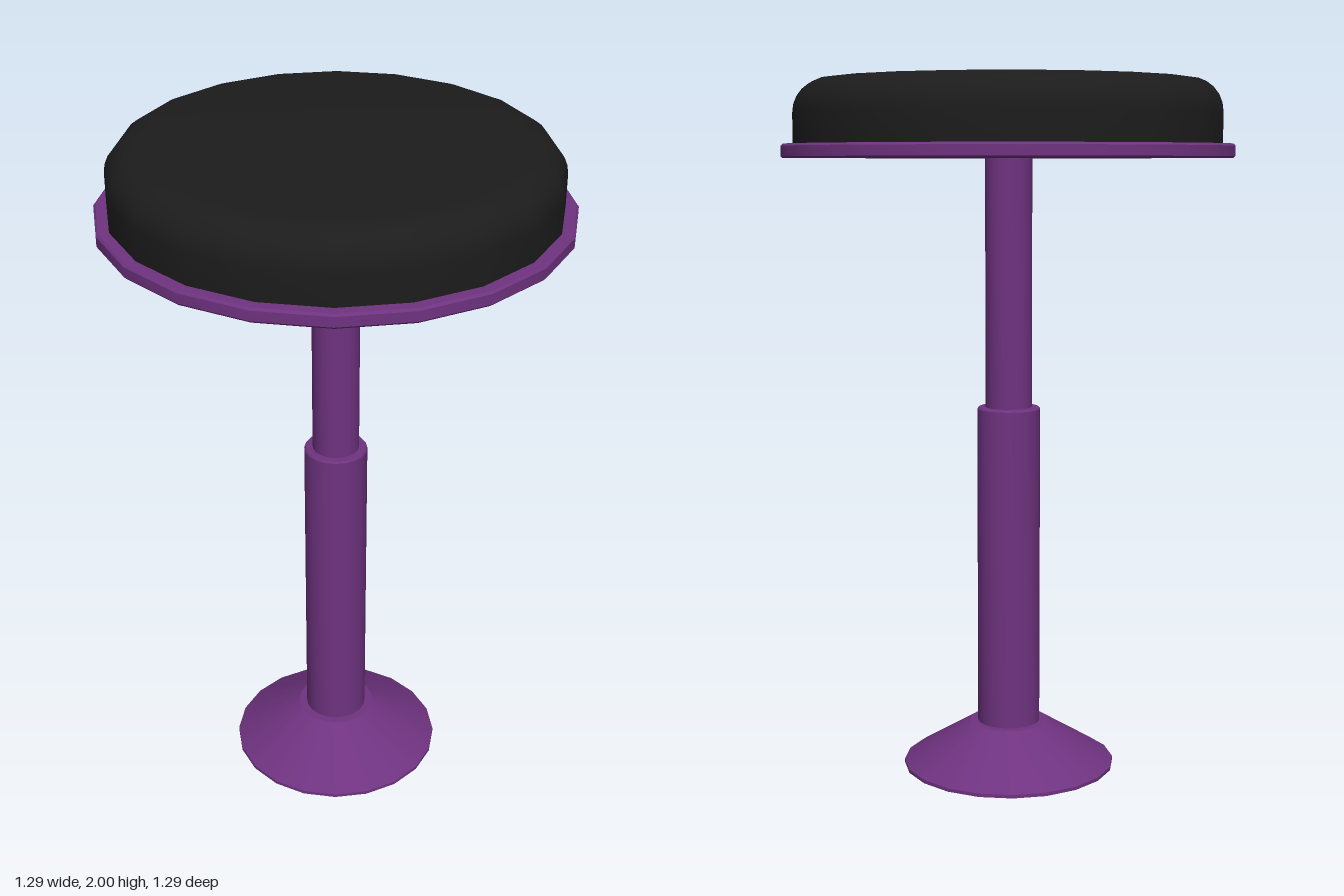
import * as THREE from 'three';
import { toCreasedNormals } from 'three/addons/utils/BufferGeometryUtils.js';

const SIDES = 20;

export function createModel() {
  const stool = new THREE.Group();
  stool.name = 'stool';
  const purple = new THREE.MeshStandardMaterial({ color: 0x6f3380 });
  const black = new THREE.MeshStandardMaterial({ color: 0x1c1c1c });

  // Turned part from a bottom-to-top [radius, height] profile, smooth around and sharp at rims
  function turned(name, profile, material) {
    const points = profile.map(([r, y]) => new THREE.Vector2(r, y));
    const geometry = toCreasedNormals(new THREE.LatheGeometry(points, SIDES), 0.5);
    const mesh = new THREE.Mesh(geometry, material);
    mesh.name = name;
    stool.add(mesh);
  }

  // Flared foot
  turned('base', [[0, 0], [0.31, 0], [0.31, 0.01], [0.115, 0.13], [0, 0.13]], purple);

  // Telescoping column
  turned('lowerColumn', [[0, 0.12], [0.091, 0.12], [0.091, 1.065], [0.087, 1.07], [0, 1.07]], purple);
  turned('upperColumn', [[0, 1.06], [0.067, 1.06], [0.067, 1.79], [0, 1.79]], purple);

  // Seat plate with slightly bevelled rim
  turned('seatPlate', [[0, 1.78], [0.637, 1.78], [0.643, 1.786], [0.643, 1.814],
    [0.637, 1.82], [0, 1.82]], purple);

  // Cushion with rounded upper edge
  const radius = 0.608, round = 0.095, top = 2;
  const cushion = [[0, 1.815], [radius, 1.815]];
  for (let i = 0; i <= 6; i++) {
    const a = (i / 6) * Math.PI / 2;
    cushion.push([radius - round + round * Math.cos(a), top - round + round * Math.sin(a)]);
  }
  cushion.push([0, top]);
  turned('cushion', cushion, black);

  return stool;
}
